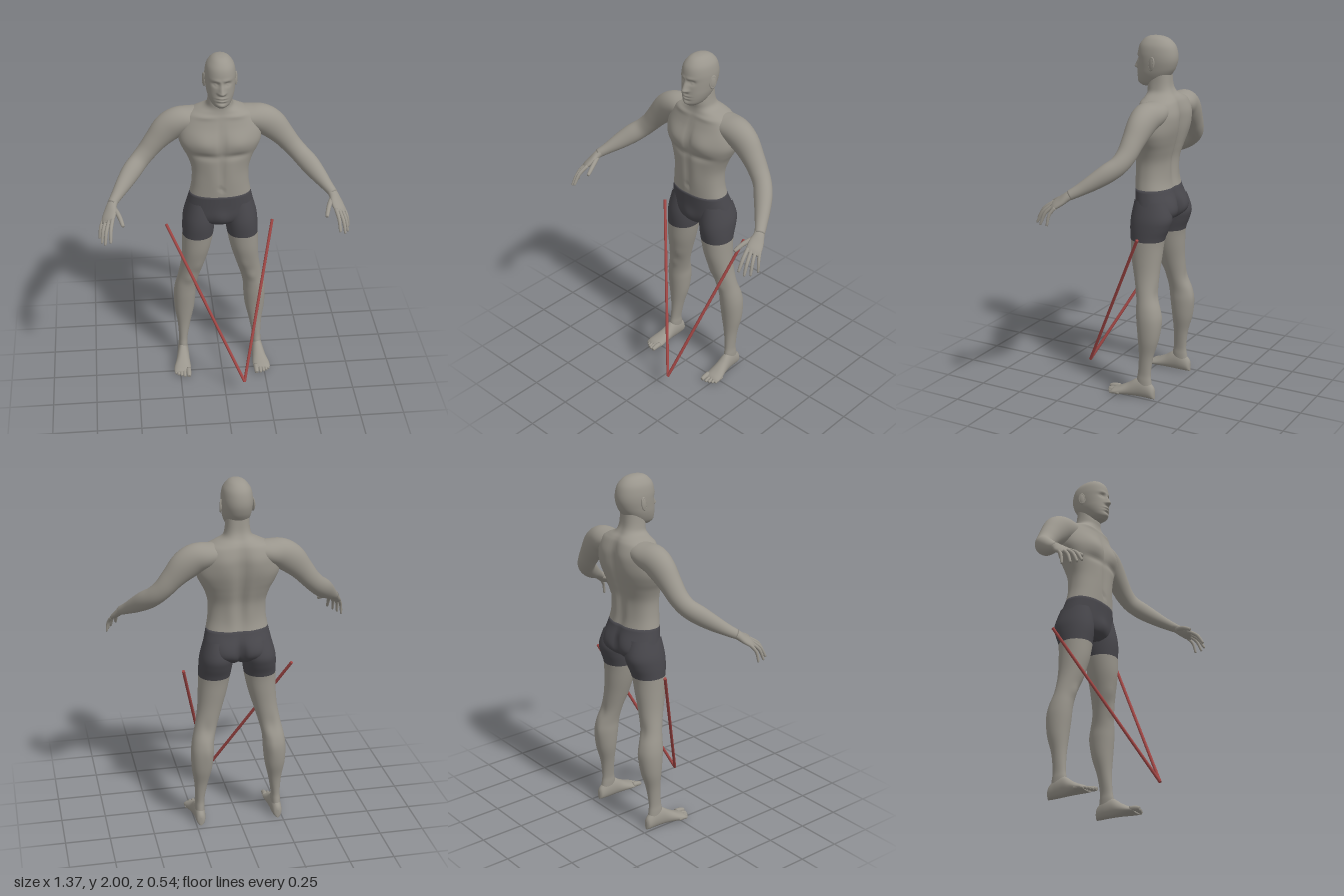
import * as THREE from 'three';

const mat = (name, color) => {
  const m = new THREE.MeshStandardMaterial({ color });
  m.name = name;
  return m;
};

// Catmull-Rom fill between rows of numbers, k steps per span
function dense(rows, k = 5) {
  const out = [], at = i => rows[Math.max(0, Math.min(rows.length - 1, i))];
  for (let i = 0; i < rows.length - 1; i++)
    for (let j = 0; j < k; j++) {
      const t = j / k, t2 = t * t, t3 = t2 * t;
      out.push(rows[i].map((p1, c) => {
        const p0 = at(i - 1)[c], p2 = at(i + 1)[c], p3 = at(i + 2)[c];
        return 0.5 * (2 * p1 + (p2 - p0) * t + (2 * p0 - 5 * p1 + 4 * p2 - p3) * t2 + (3 * p1 - p0 - 3 * p2 + p3) * t3);
      }));
    }
  out.push(rows[rows.length - 1]);
  return out;
}

// Skin a list of closed rings; optionally close both ends
function skin(rings, caps = false) {
  const n = rings[0].length, pts = rings.flat(), idx = [], m = rings.length;
  for (let i = 0; i < m - 1; i++)
    for (let k = 0; k < n; k++) {
      const a = i * n + k, b = i * n + (k + 1) % n;
      idx.push(a, b, a + n, b, b + n, a + n);
    }
  if (caps) {
    for (const i of [0, m - 1]) {
      const c = new THREE.Vector3();
      rings[i].forEach(p => c.addScaledVector(p, 1 / n));
      const ci = pts.push(c) - 1;
      for (let k = 0; k < n; k++) {
        const a = i * n + k, b = i * n + (k + 1) % n;
        if (i === 0) idx.push(ci, b, a); else idx.push(ci, a, b);
      }
    }
  }
  const g = new THREE.BufferGeometry().setFromPoints(pts);
  g.setIndex(idx);
  g.computeVertexNormals();
  return g;
}

const pw = (v, e) => Math.sign(v) * Math.abs(v) ** (2 / e);
const circle = (n, f) => Array.from({ length: n }, (_, k) => f(Math.cos(k / n * 2 * Math.PI), Math.sin(k / n * 2 * Math.PI)));

// Level rings, listed from the top down: [y, centreX, halfWidth, frontZ, backZ]
const levelRings = (rows, n, e, bump) => rows.map(([y, cx, hw, zf, zb]) => circle(n, (c, s) => {
  const p = new THREE.Vector3(cx + hw * pw(c, e), y, (zf + zb) / 2 + (zf - zb) / 2 * pw(s, e));
  if (bump) p.z += bump(Math.abs(p.x), y, Math.max(0, s), Math.max(0, -s));
  return p;
}));

// Limb along a path: [x, y, z, radius along ref, radius across]
function limb(rows, ref, n = 24, k = 5) {
  const d = dense(rows, k), P = d.map(r => new THREE.Vector3(r[0], r[1], r[2]));
  return skin(d.map((r, i) => {
    const t = P[Math.min(i + 1, P.length - 1)].clone().sub(P[Math.max(i - 1, 0)]).normalize();
    const u = ref.clone().addScaledVector(t, -t.dot(ref)).normalize();
    const v = t.clone().cross(u);
    return circle(n, (c, s) => P[i].clone().addScaledVector(u, r[3] * c).addScaledVector(v, r[4] * s));
  }), true);
}

// Finger or toe with a rounded tip
function digit(a, b, tip, r, ref) {
  const end = tip.map((v, i) => v * 0.93 + b[i] * 0.07);
  return limb([[...a, r, r], [...b, r * 0.95, r * 0.95], [...end, r * 0.7, r * 0.7], [...tip, r * 0.15, r * 0.15]], ref, 12, 4);
}

function mirrored(g) {
  const m = g.clone().scale(-1, 1, 1), a = m.index.array;
  for (let i = 0; i < a.length; i += 3) [a[i], a[i + 1]] = [a[i + 1], a[i]];
  m.computeVertexNormals();
  return m;
}

const bell = (x, y, cx, cy, sx, sy) => Math.exp(-(((x - cx) / sx) ** 2) - ((y - cy) / sy) ** 2);
const clamp = THREE.MathUtils.clamp;

export function createModel() {
  const group = new THREE.Group();
  const skinMat = mat('skin', 0x9a968d), shortsMat = mat('shorts', 0x48474c), rodMat = mat('rod red', 0xa04644);
  const add = (name, geo, m = skinMat) => {
    const mesh = new THREE.Mesh(geo, m);
    mesh.name = name;
    group.add(mesh);
    return mesh;
  };
  const pair = (name, geo, m) => { add(name + 'Left', geo, m); add(name + 'Right', mirrored(geo), m); };

  // Neck, torso and pelvis in one run, divided at the waistband
  const trunk = dense([
    [1.82, 0, 0.06, -0.08, -0.19], [1.74, 0, 0.066, -0.064, -0.198], [1.70, 0, 0.08, -0.064, -0.215],
    [1.675, 0, 0.13, -0.06, -0.238], [1.65, 0, 0.18, -0.052, -0.252], [1.60, 0, 0.212, -0.036, -0.264],
    [1.55, 0, 0.226, -0.020, -0.264], [1.50, 0, 0.226, -0.010, -0.26], [1.45, 0, 0.206, -0.010, -0.25],
    [1.40, 0, 0.18, -0.014, -0.236], [1.33, 0, 0.159, -0.016, -0.216], [1.25, 0, 0.159, -0.016, -0.212],
    [1.18, 0, 0.17, -0.018, -0.222], [1.10, 0, 0.188, -0.022, -0.25], [1.04, 0, 0.198, -0.026, -0.254],
    [1.00, 0, 0.15, -0.04, -0.22], [0.975, 0, 0.06, -0.07, -0.17]]);
  const trunkBump = (x, y, f, b) =>
    f * (0.016 * bell(x, y, 0.095, 1.515, 0.075, 0.055)       // chest
      - 0.012 * bell(x, y, 0.09, 1.435, 0.09, 0.02)
      - 0.010 * bell(x, y, 0, 1.52, 0.016, 0.09)
      - 0.006 * bell(x, y, 0, 1.33, 0.012, 0.12)              // belly line and navel
      - 0.009 * bell(x, y, 0, 1.228, 0.01, 0.012)
      + 0.005 * bell(x, y, 0.05, 1.33, 0.035, 0.1)
      + 0.007 * bell(x, y, 0.1, 1.655, 0.07, 0.012)           // collarbone
      + 0.012 * bell(x, y, 0, 1.03, 0.04, 0.05))
    - b * (0.012 * bell(x, y, 0.095, 1.57, 0.06, 0.09)        // shoulder blades
      - 0.020 * bell(x, y, 0, 1.45, 0.03, 0.22)               // spine
      + 0.006 * bell(x, y, 0.05, 1.28, 0.03, 0.1)
      + 0.014 * bell(x, y, 0.09, 1.07, 0.06, 0.06)            // seat
      - 0.035 * bell(x, y, 0, 1.04, 0.018, 0.07));
  const trunkRings = levelRings(trunk, 80, 2.3, trunkBump), waist = 12 * 5;
  add('torso', skin(trunkRings.slice(0, waist + 1)));
  add('shortsHips', skin(trunkRings.slice(waist), true), shortsMat);

  // Legs, divided at the shorts hem
  const leg = dense([
    [1.12, 0.11, 0.072, -0.04, -0.23], [1.03, 0.117, 0.09, -0.024, -0.258], [0.97, 0.122, 0.092, -0.021, -0.245],
    [0.90, 0.128, 0.088, -0.028, -0.218], [0.80, 0.140, 0.079, -0.038, -0.208], [0.70, 0.158, 0.068, -0.062, -0.202],
    [0.60, 0.182, 0.062, -0.090, -0.206], [0.52, 0.200, 0.062, -0.097, -0.230], [0.45, 0.206, 0.064, -0.102, -0.240],
    [0.35, 0.210, 0.057, -0.112, -0.230], [0.25, 0.214, 0.038, -0.118, -0.202], [0.15, 0.220, 0.026, -0.114, -0.190],
    [0.10, 0.222, 0.027, -0.106, -0.194], [0.03, 0.224, 0.026, -0.11, -0.205]]);
  const legRings = levelRings(leg, 40, 2.1, (x, y, f, b) =>
    f * (0.010 * bell(x, y, 0.18, 0.6, 0.03, 0.035) + 0.006 * bell(x, y, 0.125, 0.69, 0.03, 0.04))
    - b * (0.006 * bell(x, y, 0.18, 0.47, 0.025, 0.07) - 0.006 * bell(x, y, 0.185, 0.59, 0.025, 0.05)));
  pair('shortsLeg', skin(legRings.slice(0, 16)), shortsMat);
  pair('leg', skin(legRings.slice(15)));

  // Feet: [z, centreX, halfWidth, height], heel to toes
  const foot = dense([
    [-0.217, 0.224, 0.008, 0.05], [-0.205, 0.224, 0.024, 0.075], [-0.16, 0.223, 0.031, 0.11], [-0.11, 0.225, 0.034, 0.108],
    [-0.06, 0.229, 0.040, 0.075], [-0.01, 0.235, 0.049, 0.048], [0.025, 0.237, 0.049, 0.034], [0.04, 0.236, 0.04, 0.024]]);
  pair('foot', skin(foot.map(([z, cx, hw, h]) => circle(28, (c, s) =>
    new THREE.Vector3(cx + hw * pw(c, 2.4) * (s > 0 ? 1 - 0.25 * s : 1), h / 2 + h / 2 * pw(s, 2.4), z))), true));
  const X = new THREE.Vector3(1, 0, 0);
  [[0.202, 0.076, 0.015], [0.226, 0.072, 0.0105], [0.244, 0.064, 0.0105], [0.261, 0.054, 0.01], [0.276, 0.041, 0.0095]]
    .forEach(([x, z, r], i) => pair('toe' + (i + 1),
      digit([x, r + 0.008, z - 0.06], [x, r + 0.005, z - 0.025], [x, r, z], r, X)));

  // Arms, from inside the shoulder to the wrist
  pair('arm', limb([
    [0.08, 1.622, -0.165, 0.048, 0.075], [0.16, 1.608, -0.165, 0.066, 0.084], [0.23, 1.592, -0.16, 0.08, 0.078],
    [0.29, 1.553, -0.157, 0.08, 0.069], [0.35, 1.49, -0.15, 0.064, 0.059], [0.40, 1.43, -0.14, 0.055, 0.053],
    [0.445, 1.383, -0.118, 0.053, 0.049], [0.49, 1.343, -0.073, 0.054, 0.048], [0.535, 1.30, -0.016, 0.045, 0.041],
    [0.575, 1.262, 0.04, 0.032, 0.033], [0.605, 1.235, 0.085, 0.025, 0.027]], new THREE.Vector3(0.65, 0.75, 0), 36));

  // Hands
  const across = new THREE.Vector3(0.8, -0.25, -0.55).normalize();
  pair('palm', limb([
    [0.595, 1.245, 0.07, 0.027, 0.024], [0.607, 1.228, 0.095, 0.031, 0.022], [0.617, 1.205, 0.125, 0.040, 0.019],
    [0.629, 1.182, 0.157, 0.041, 0.016], [0.635, 1.169, 0.176, 0.032, 0.009]], across));
  [[[0.605, 1.190, 0.175], [0.62, 1.097, 0.265]], [[0.624, 1.182, 0.172], [0.65, 1.08, 0.255]],
   [[0.641, 1.177, 0.160], [0.668, 1.075, 0.225]], [[0.655, 1.174, 0.140], [0.68, 1.078, 0.178]]]
    .forEach(([a, t], i) => pair('finger' + (i + 1),
      digit(a, [(a[0] + t[0]) / 2 + 0.004, (a[1] + t[1]) / 2 + 0.010, (a[2] + t[2]) / 2 + 0.008], t, 0.0108 - 0.0006 * i, across)));
  pair('thumb', digit([0.594, 1.22, 0.105], [0.568, 1.2, 0.165], [0.55, 1.17, 0.22], 0.0135, across));

  // Head with facial relief
  const head = dense([
    [2.0, 0, 0.006, -0.1, -0.112], [1.995, 0, 0.03, -0.064, -0.148], [1.98, 0, 0.052, -0.036, -0.184],
    [1.95, 0, 0.073, -0.012, -0.212], [1.91, 0, 0.082, -0.002, -0.225], [1.87, 0, 0.083, -0.002, -0.226],
    [1.83, 0, 0.079, 0, -0.214], [1.80, 0, 0.074, 0.001, -0.196], [1.77, 0, 0.064, 0.001, -0.172],
    [1.745, 0, 0.05, -0.003, -0.145], [1.728, 0, 0.03, -0.02, -0.12]], 7);
  add('head', skin(levelRings(head, 96, 2.15, (x, y, f) => {
    const bridge = y > 1.826 ? clamp((1.892 - y) / 0.066, 0, 1) : Math.exp(-(((y - 1.826) / 0.011) ** 2));
    return f * (0.028 * bridge * Math.exp(-((x / (0.009 + 0.008 * bridge)) ** 2))   // nose
      + 0.006 * bell(x, y, 0.014, 1.822, 0.008, 0.01)
      - 0.014 * bell(x, y, 0.032, 1.872, 0.017, 0.012)                              // eyes and brow
      + 0.008 * bell(x, y, 0.032, 1.87, 0.009, 0.006)
      + 0.005 * bell(x, y, 0.025, 1.893, 0.03, 0.009)
      + 0.008 * bell(x, y, 0, 1.794, 0.024, 0.007) + 0.008 * bell(x, y, 0, 1.778, 0.02, 0.007)
      - 0.006 * bell(x, y, 0, 1.786, 0.026, 0.003)                                  // mouth
      - 0.005 * bell(x, y, 0, 1.767, 0.025, 0.006) + 0.006 * bell(x, y, 0, 1.748, 0.02, 0.012));
  }), true));

  // Ears: a shallow shell with a raised rim
  const place = g => g.rotateY(1.25).rotateX(-0.15).translate(0.086, 1.857, -0.118);
  pair('ear', place(new THREE.SphereGeometry(1, 16, 12).scale(0.018, 0.034, 0.007)));
  pair('earRim', place(new THREE.TorusGeometry(0.017, 0.0045, 8, 24).scale(1, 1.8, 1)));

  // Two rods meeting at a low point in front
  const low = new THREE.Vector3(0.107, 0.102, 0.265);
  for (const [name, x] of [['rodLeft', 0.303], ['rodRight', -0.305]]) {
    const dir = new THREE.Vector3(x, 0.943, -0.15).sub(low);
    const rod = add(name, new THREE.CylinderGeometry(0.0085, 0.0085, dir.length(), 12), rodMat);
    rod.position.copy(low).addScaledVector(dir, 0.5);
    rod.quaternion.setFromUnitVectors(new THREE.Vector3(0, 1, 0), dir.normalize());
  }
  return group;
}
